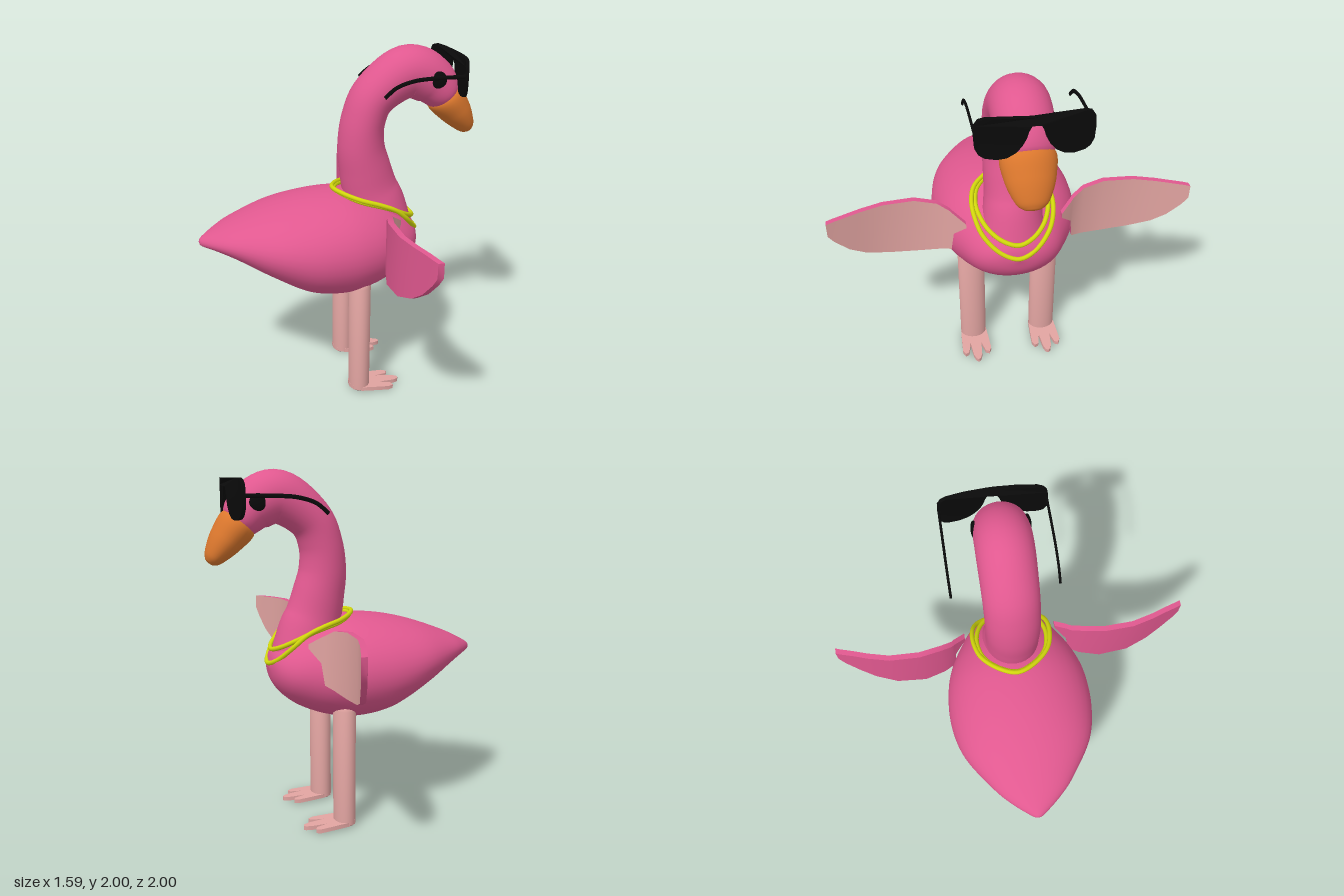
import * as THREE from 'three';
import { toCreasedNormals } from 'three/addons/utils/BufferGeometryUtils.js';

const paint = (name, color) => {
  const m = new THREE.MeshStandardMaterial({ color });
  m.name = name;
  return m;
};

// Smooth skin over elliptical sections [x, y, half height, half width]
function loft(sections, steps, upright = false, sides = 32) {
  const centre = new THREE.CatmullRomCurve3(sections.map(s => new THREE.Vector3(s[0], s[1], 0)), false, 'catmullrom');
  const radii = new THREE.CatmullRomCurve3(sections.map(s => new THREE.Vector3(s[2], s[3], 0)), false, 'catmullrom');
  const pos = [], idx = [];
  for (let i = 0; i <= steps; i++) {
    const c = centre.getPoint(i / steps), r = radii.getPoint(i / steps), t = centre.getTangent(i / steps);
    const nx = upright ? 0 : -t.y, ny = upright ? 1 : t.x;
    const a = Math.max(r.x, 0.001), b = Math.max(r.y, 0.001);
    for (let j = 0; j < sides; j++) {
      const q = j / sides * Math.PI * 2, h = Math.cos(q) * a;
      pos.push(c.x + nx * h, c.y + ny * h, Math.sin(q) * b);
      if (i < steps) {
        const p = i * sides + j, n = i * sides + (j + 1) % sides;
        idx.push(p, n, p + sides, n, n + sides, p + sides);
      }
    }
  }
  const g = new THREE.BufferGeometry();
  g.setAttribute('position', new THREE.Float32BufferAttribute(pos, 3));
  g.setIndex(idx);
  g.computeVertexNormals();
  return g;
}

// Closed outline from one half, mirrored across the chosen axis
function mirroredShape(half, axis) {
  const other = half.map(p => axis === 'x' ? [-p[0], p[1]] : [p[0], -p[1]]).reverse();
  return new THREE.Shape([...half, ...other].map(p => new THREE.Vector2(p[0], p[1])));
}

function moveVertices(g, rule) {
  const p = g.attributes.position, v = new THREE.Vector3();
  for (let i = 0; i < p.count; i++) {
    v.fromBufferAttribute(p, i);
    rule(v);
    p.setXYZ(i, v.x, v.y, v.z);
  }
  return toCreasedNormals(g, 0.6);
}

// Curved wing slab: pale front face, pink back and rim
function wingGeometries(side) {
  // [distance from middle, top, bottom, x]
  let rows = [
    [0.265, 1.085, 1.06, 0.29], [0.33, 1.13, 0.99, 0.24], [0.345, 1.14, 0.87, 0.225],
    [0.41, 1.175, 0.855, 0.195], [0.53, 1.19, 0.838, 0.168], [0.7, 1.187, 0.855, 0.175],
    [0.82, 1.182, 0.9, 0.208], [0.9, 1.178, 0.96, 0.237], [0.97, 1.173, 1.04, 0.26], [1.0, 1.17, 1.09, 0.272],
  ];
  if (side < 0) rows = rows.reverse();
  const rings = rows.map(([z, top, bottom, x]) => [
    [x + 0.014, top, z * side], [x + 0.014, bottom, z * side],
    [x - 0.018, bottom, z * side], [x - 0.018, top, z * side],
  ]);
  const front = [], back = [];
  const quad = (out, a, b, c, d) => out.push(...a, ...b, ...c, ...a, ...c, ...d);
  for (let i = 0; i < rings.length - 1; i++) {
    for (let k = 0; k < 4; k++) {
      const n = (k + 1) % 4;
      quad(k ? back : front, rings[i][k], rings[i + 1][k], rings[i + 1][n], rings[i][n]);
    }
  }
  quad(back, ...rings[0]);
  quad(back, ...rings[rings.length - 1].slice().reverse());
  return [front, back].map(list => {
    const g = new THREE.BufferGeometry();
    g.setAttribute('position', new THREE.Float32BufferAttribute(list, 3));
    return toCreasedNormals(g, 0.7);
  });
}

export function createModel() {
  const model = new THREE.Group();
  const pink = paint('plumage pink', 0xe0588f);
  const pale = paint('pale pink', 0xe0a3a0);
  const orange = paint('beak orange', 0xdb772d);
  const gold = paint('necklace yellow', 0xd0d60c);
  const black = paint('glossy black', 0x0a0a0a);
  const add = (name, geometry, material, parent = model) => {
    const m = new THREE.Mesh(geometry, material);
    m.name = name;
    parent.add(m);
    return m;
  };

  // Body, pointed at the tail and blunt at the chest
  add('body', loft([
    [-0.8, 0.95, 0, 0], [-0.785, 0.95, 0.025, 0.035], [-0.7, 0.962, 0.06, 0.14], [-0.6, 0.963, 0.105, 0.23],
    [-0.4, 0.94, 0.2, 0.36], [-0.2, 0.908, 0.277, 0.413], [0, 0.9, 0.3, 0.41], [0.15, 0.9, 0.275, 0.37],
    [0.28, 0.9, 0.225, 0.3], [0.38, 0.9, 0.155, 0.23], [0.44, 0.91, 0.085, 0.135], [0.463, 0.92, 0, 0],
  ], 66, true, 40), pink);

  // Neck bending over into the head
  add('neckAndHead', loft([
    [0.28, 0.93, 0.17, 0.19], [0.225, 1.1, 0.172, 0.165], [0.19, 1.2, 0.16, 0.15], [0.163, 1.31, 0.148, 0.148],
    [0.137, 1.45, 0.133, 0.148], [0.148, 1.6, 0.122, 0.148], [0.212, 1.74, 0.125, 0.148],
    [0.385, 1.855, 0.145, 0.15], [0.525, 1.81, 0.138, 0.146], [0.612, 1.715, 0.095, 0.125], [0.635, 1.69, 0, 0],
  ], 70), pink);

  // Beak
  add('beak', loft([
    [0.59, 1.735, 0, 0], [0.605, 1.722, 0.1, 0.128], [0.68, 1.63, 0.092, 0.125],
    [0.745, 1.545, 0.058, 0.085], [0.77, 1.515, 0.03, 0.045], [0.776, 1.508, 0, 0],
  ], 40), orange);

  // Two necklace strands hanging down the chest
  const strands = [
    [[-0.03, 1.215, 0], [0.01, 1.208, 0.1], [0.1, 1.19, 0.19], [0.2, 1.165, 0.22], [0.29, 1.125, 0.218],
      [0.37, 1.05, 0.185], [0.435, 0.97, 0.1], [0.465, 0.938, 0]],
    [[-0.02, 1.2, 0], [0.02, 1.195, 0.1], [0.1, 1.175, 0.175], [0.2, 1.15, 0.2], [0.28, 1.12, 0.19],
      [0.36, 1.075, 0.15], [0.42, 1.035, 0.08], [0.445, 1.017, 0]],
  ];
  strands.forEach((half, i) => {
    const mirror = half.slice(1, -1).reverse().map(p => [p[0], p[1], -p[2]]);
    const path = new THREE.CatmullRomCurve3([...half, ...mirror].map(p => new THREE.Vector3(...p)), true);
    add('necklace' + (i + 1), new THREE.TubeGeometry(path, 80, 0.013, 10, true), gold);
  });

  // Leg with a rounded top, and a three-toed foot
  const legProfile = [[0, 0.01], [0.055, 0.01], [0.062, 0.018], [0.062, 0.69], [0.054, 0.715], [0.035, 0.734], [0, 0.74]];
  const legGeometry = toCreasedNormals(
    new THREE.LatheGeometry(legProfile.map(p => new THREE.Vector2(...p)), 28), 0.7).scale(1, 1, 1.28);
  const footShape = mirroredShape([
    [0.022, 0.02], [0.04, 0.058], [0.085, 0.08], [0.16, 0.085], [0.25, 0.089], [0.278, 0.075], [0.268, 0.052],
    [0.2, 0.034], [0.29, 0.026], [0.32, 0.015], [0.328, 0.004],
  ], 'y');
  const footGeometry = moveVertices(
    new THREE.ExtrudeGeometry(footShape, { depth: 0.024, bevelEnabled: false }).rotateX(-Math.PI / 2),
    v => { v.y += 0.018 - v.x * 0.053; });

  for (const side of [1, -1]) {
    const label = side > 0 ? 'left' : 'right';
    add(label + 'Leg', legGeometry, pale).position.set(0.084, 0, 0.22 * side);
    add(label + 'Foot', footGeometry, pale).position.z = 0.22 * side;

    // Wing
    const wing = new THREE.Group();
    wing.name = label + 'Wing';
    model.add(wing);
    const [front, back] = wingGeometries(side);
    add('wingFront', front, pale, wing);
    add('wingBack', back, pink, wing);

    // Eye
    const eye = add(label + 'Eye', new THREE.SphereGeometry(0.048, 20, 14), black);
    eye.scale.z = 0.4;
    eye.position.set(0.53, 1.83, 0.136 * side);
  }

  // Sunglasses: bowed lens plate with two hooked temples
  const glasses = new THREE.Group();
  glasses.name = 'sunglasses';
  glasses.position.z = -0.025;
  model.add(glasses);
  const lensShape = mirroredShape([
    [0.02, 1.955], [0.14, 1.957], [0.23, 1.957], [0.26, 1.947], [0.278, 1.92], [0.282, 1.86], [0.278, 1.8],
    [0.262, 1.768], [0.235, 1.75], [0.18, 1.742], [0.135, 1.75], [0.095, 1.775], [0.065, 1.81],
    [0.045, 1.85], [0.035, 1.885], [0.022, 1.91], [0.005, 1.912],
  ], 'x');
  add('lenses', moveVertices(
    new THREE.ExtrudeGeometry(lensShape, { depth: 0.02, bevelEnabled: false }).rotateY(Math.PI / 2),
    v => { v.x += 0.665 - 0.4 * v.z * v.z; }), black, glasses);
  for (const side of [1, -1]) {
    const path = new THREE.CatmullRomCurve3(
      [[0.65, 1.868], [0.45, 1.866], [0.35, 1.856], [0.26, 1.826], [0.198, 1.775]]
        .map(([x, y]) => new THREE.Vector3(x, y, 0)));
    const temple = add(side > 0 ? 'leftTemple' : 'rightTemple', new THREE.TubeGeometry(path, 30, 0.011, 8), black, glasses);
    temple.scale.z = 0.6;
    temple.position.z = 0.275 * side;
  }
  return model;
}
